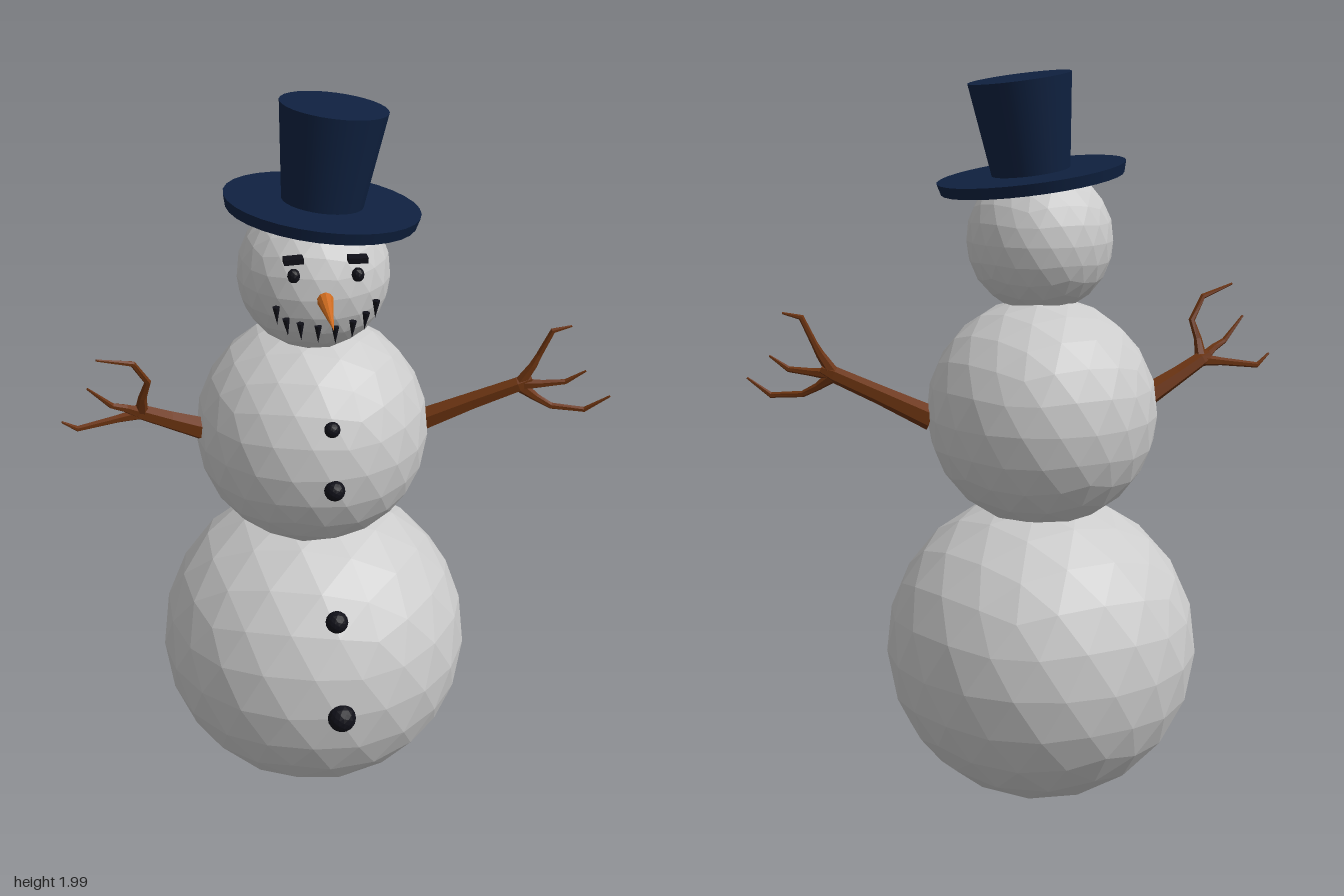
import * as THREE from 'three';

const paint = (color, flatShading = true) => new THREE.MeshStandardMaterial({ color, flatShading });

// Tapered stick along points [x, y, z, radius], closed at both ends
function stick(points, sides = 6) {
  const pos = [], idx = [], n = points.length;
  const p = points.map(a => new THREE.Vector3(a[0], a[1], a[2]));
  const ref = new THREE.Vector3(0, 0, 1);
  p.forEach((c, i) => {
    const t = p[Math.min(i + 1, n - 1)].clone().sub(p[Math.max(i - 1, 0)]).normalize();
    const u = ref.clone().cross(t).normalize();
    const v = t.clone().cross(u);
    for (let j = 0; j < sides; j++) {
      const a = j / sides * Math.PI * 2, r = points[i][3];
      const q = c.clone().addScaledVector(u, Math.cos(a) * r).addScaledVector(v, Math.sin(a) * r);
      pos.push(q.x, q.y, q.z);
    }
  });
  for (let i = 0; i < n - 1; i++) for (let j = 0; j < sides; j++) {
    const k = (j + 1) % sides;
    const a = i * sides + j, b = i * sides + k, c = b + sides, d = a + sides;
    idx.push(a, b, c, a, c, d);
  }
  const last = (n - 1) * sides;
  for (let j = 1; j < sides - 1; j++) idx.push(0, j + 1, j, last, last + j, last + j + 1);
  const g = new THREE.BufferGeometry();
  g.setAttribute('position', new THREE.Float32BufferAttribute(pos, 3));
  g.setIndex(idx);
  g.computeVertexNormals();
  return g;
}

export function createModel() {
  const model = new THREE.Group();
  const snow = paint(0xcccccc), coal = paint(0x101018), wood = paint(0x6b3310);
  const carrot = paint(0xcc6a1e), felt = paint(0x0f2140, false);

  const add = (name, geometry, material, x = 0, y = 0, z = 0, parent = model) => {
    const m = new THREE.Mesh(geometry, material);
    m.name = name;
    m.position.set(x, y, z);
    parent.add(m);
    return m;
  };
  const group = name => {
    const g = new THREE.Group();
    g.name = name;
    model.add(g);
    return g;
  };

  // Snowballs: faceted spheres with one vertex at the top
  for (const [name, r, x, y, z] of [
    ['lowerBody', 0.43, -0.063, 0.436, -0.018],
    ['upperBody', 0.312, -0.064, 1.1, -0.015],
    ['head', 0.196, -0.062, 1.56, 0.02],
  ]) add(name, new THREE.IcosahedronGeometry(r, 3).rotateZ(-0.5536), snow, x, y, z);

  // Buttons
  const buttons = group('buttons');
  for (const [y, z, r] of [[1.23, 0.262, 0.021], [1.075, 0.3, 0.027], [0.695, 0.333, 0.03], [0.44, 0.411, 0.038]])
    add('button', new THREE.IcosahedronGeometry(r, 2), coal, -0.055, y, z, buttons);

  // Face
  const face = group('face');
  for (const [x, y, turn] of [[-0.138, 1.624, 0.03], [0.02, 1.617, -0.03]]) {
    add('eye', new THREE.IcosahedronGeometry(0.016, 1), coal, x, y, 0.198, face).scale.y = 1.15;
    add('eyebrow', new THREE.BoxGeometry(0.048, 0.014, 0.03), coal, x, y + 0.039, 0.193, face).rotation.z = turn;
  }
  add('nose', new THREE.ConeGeometry(0.025, 0.15, 10).rotateX(Math.PI / 2 + 0.2), carrot, -0.063, 1.55, 0.262, face);
  // Mouth: a row of pointed chips along a smile
  for (const [x, y, tilt] of [
    [-0.182, 1.525, 0.05], [-0.157, 1.492, 0.1], [-0.123, 1.478, 0.05], [-0.08, 1.468, 0],
    [-0.037, 1.462, 0], [0.006, 1.474, -0.05], [0.038, 1.495, -0.1], [0.064, 1.525, -0.05],
  ]) add('mouthChip', new THREE.ConeGeometry(0.01, 0.046, 6).rotateX(Math.PI), coal, x, y, 0.203, face).rotation.z = tilt;

  // Top hat, tipped to one side
  const hat = group('topHat');
  hat.position.set(-0.038, 1.725, 0.008);
  hat.rotation.set(-0.03, 0, -0.13);
  add('brim', new THREE.CylinderGeometry(0.25, 0.242, 0.03, 32), felt, 0, 0, 0, hat);
  add('crown', new THREE.CylinderGeometry(0.136, 0.103, 0.25, 32), felt, 0, 0.132, 0, hat);

  // Twig arms: a tapering limb and three crooked fingers each
  const arms = {
    rightArm: [
      [[-0.35, 1.125, 0.005, 0.033], [-0.45, 1.178, 0.035, 0.025], [-0.52, 1.217, 0.057, 0.021], [-0.545, 1.23, 0.065, 0.012]],
      [[-0.52, 1.215, 0.057, 0.018], [-0.515, 1.27, 0.08, 0.011], [-0.5, 1.32, 0.095, 0.009], [-0.535, 1.382, 0.115, 0.008], [-0.625, 1.412, 0.143, 0.003]],
      [[-0.52, 1.215, 0.057, 0.017], [-0.56, 1.243, 0.08, 0.011], [-0.594, 1.26, 0.095, 0.008], [-0.652, 1.325, 0.12, 0.003]],
      [[-0.515, 1.215, 0.057, 0.018], [-0.58, 1.207, 0.065, 0.011], [-0.685, 1.192, 0.075, 0.008], [-0.722, 1.222, 0.09, 0.003]],
    ],
    leftArm: [
      [[0.235, 1.09, -0.018, 0.034], [0.37, 1.152, 0.012, 0.026], [0.49, 1.205, 0.04, 0.022], [0.525, 1.22, 0.045, 0.012]],
      [[0.49, 1.205, 0.04, 0.018], [0.525, 1.26, 0.045, 0.012], [0.54, 1.29, 0.045, 0.009], [0.572, 1.36, 0.05, 0.008], [0.622, 1.372, 0.055, 0.003]],
      [[0.49, 1.205, 0.04, 0.018], [0.55, 1.21, 0.057, 0.011], [0.61, 1.217, 0.07, 0.008], [0.66, 1.252, 0.085, 0.003]],
      [[0.49, 1.203, 0.04, 0.018], [0.535, 1.17, 0.055, 0.011], [0.575, 1.148, 0.07, 0.009], [0.66, 1.142, 0.095, 0.008], [0.722, 1.187, 0.116, 0.003]],
    ],
  };
  for (const [name, limbs] of Object.entries(arms)) {
    const arm = group(name);
    limbs.forEach((points, i) => add(i ? 'finger' : 'limb', stick(points), wood, 0, 0, 0, arm));
  }

  return model;
}
